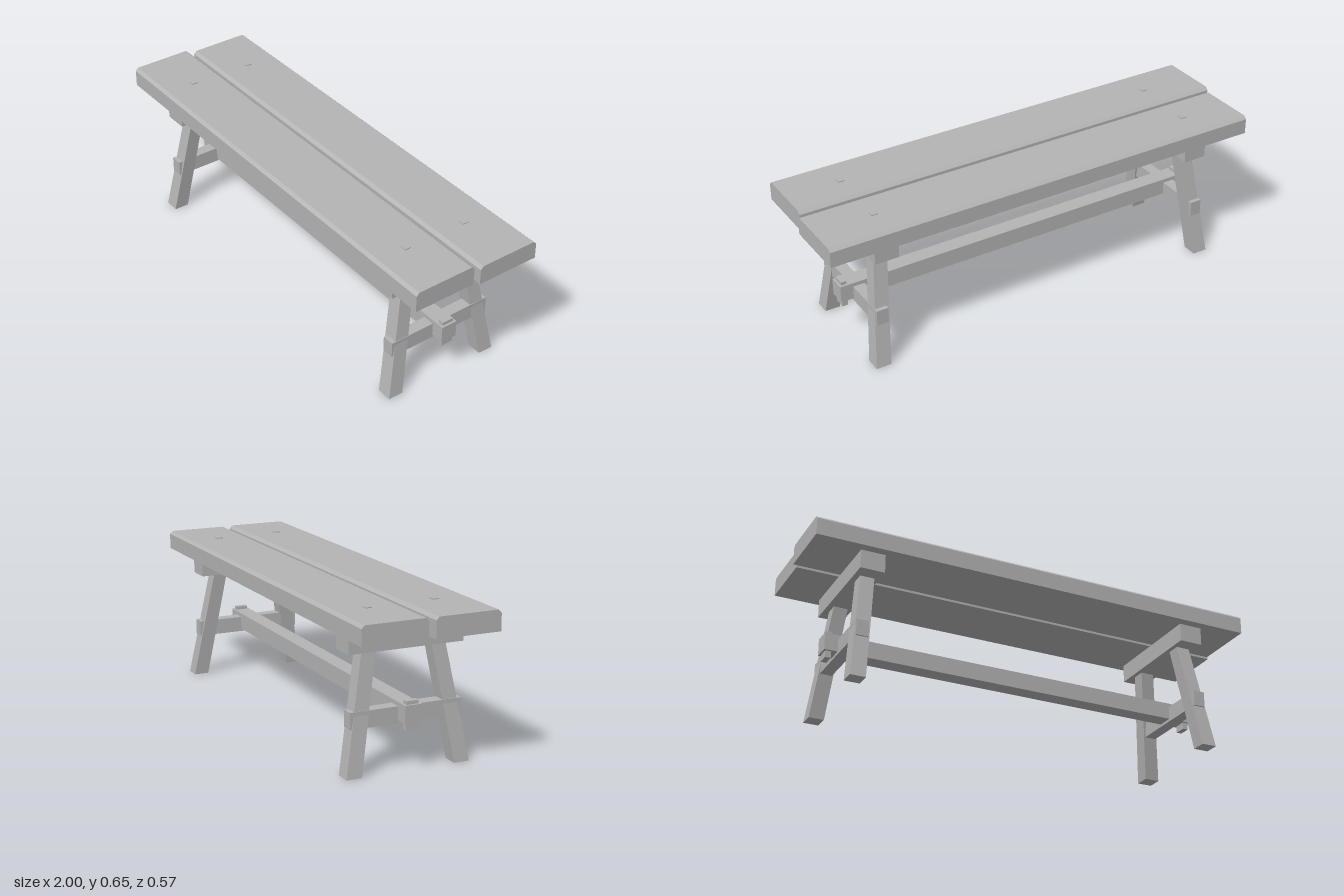
import * as THREE from 'three';

export function createModel() {
  const model = new THREE.Group();
  model.name = 'bench';
  const wood = new THREE.MeshStandardMaterial({ color: 0xb4b4b4 });
  wood.name = 'plain grey wood';

  const add = (name, geometry) => {
    const mesh = new THREE.Mesh(geometry, wood);
    mesh.name = name;
    model.add(mesh);
    return mesh;
  };

  // Box given by its lower and upper limits on each axis
  const box = (name, [x0, x1], [y0, y1], [z0, z1]) => {
    add(name, new THREE.BoxGeometry(x1 - x0, y1 - y0, z1 - z0))
      .position.set((x0 + x1) / 2, (y0 + y1) / 2, (z0 + z1) / 2);
  };

  // Seat plank: rectangle with chamfered upper edges, run along x
  const plank = (name, [x0, x1], [y0, y1], [z0, z1]) => {
    const c = 0.013, w = (z1 - z0) / 2;
    const profile = new THREE.Shape([
      [-w, y0], [w, y0], [w, y1 - c], [w - c, y1], [-w + c, y1], [-w, y1 - c],
    ].map(([a, b]) => new THREE.Vector2(a, b)));
    const geometry = new THREE.ExtrudeGeometry(profile, { depth: x1 - x0, bevelEnabled: false });
    geometry.rotateY(Math.PI / 2);
    geometry.translate(x0, 0, (z0 + z1) / 2);
    add(name, geometry);
  };
  plank('frontPlank', [-1, 0.985], [0.56, 0.645], [0.009, 0.287]);
  plank('backPlank', [-0.98, 1], [0.56, 0.64], [-0.287, -0.009]);

  // Splayed leg: level cuts at both ends, leaning in towards the top
  const leg = (sx, sz) => {
    const height = 0.49;
    const geometry = new THREE.BoxGeometry(0.066, height, 0.066);
    const p = geometry.attributes.position;
    for (let i = 0; i < p.count; i++) {
      const t = p.getY(i) > 0 ? 1 : 0;
      const taper = 1 - 0.08 * t;
      p.setXYZ(i,
        p.getX(i) * taper + sx * (0.794 - 0.053 * t),
        height * t,
        p.getZ(i) * taper + sz * (0.234 - 0.085 * t));
    }
    geometry.computeVertexNormals();
    add('leg', geometry);
  };

  // Trestle at each end
  for (const s of [-1, 1]) {
    const span = (a, b) => (s > 0 ? [a, b] : [-b, -a]);
    box('topBeam', span(0.692, 0.797), [0.48, 0.56], [-0.246, 0.246]);
    box('crossRail', span(0.748, 0.8), [0.187, 0.255], [-0.24, 0.24]);
    box('railWedge', span(0.824, 0.848), [0.17, 0.286], [-0.026, 0.026]);
    box('frontPeg', span(0.73, 0.757), [0.6, 0.649], [0.13, 0.157]);
    box('backPeg', span(0.73, 0.757), [0.6, 0.644], [-0.156, -0.129]);
    leg(s, 1);
    leg(s, -1);
  }

  // Long rail passing through both trestles
  box('longRail', [-0.857, 0.857], [0.199, 0.272], [-0.036, 0.036]);

  return model;
}
